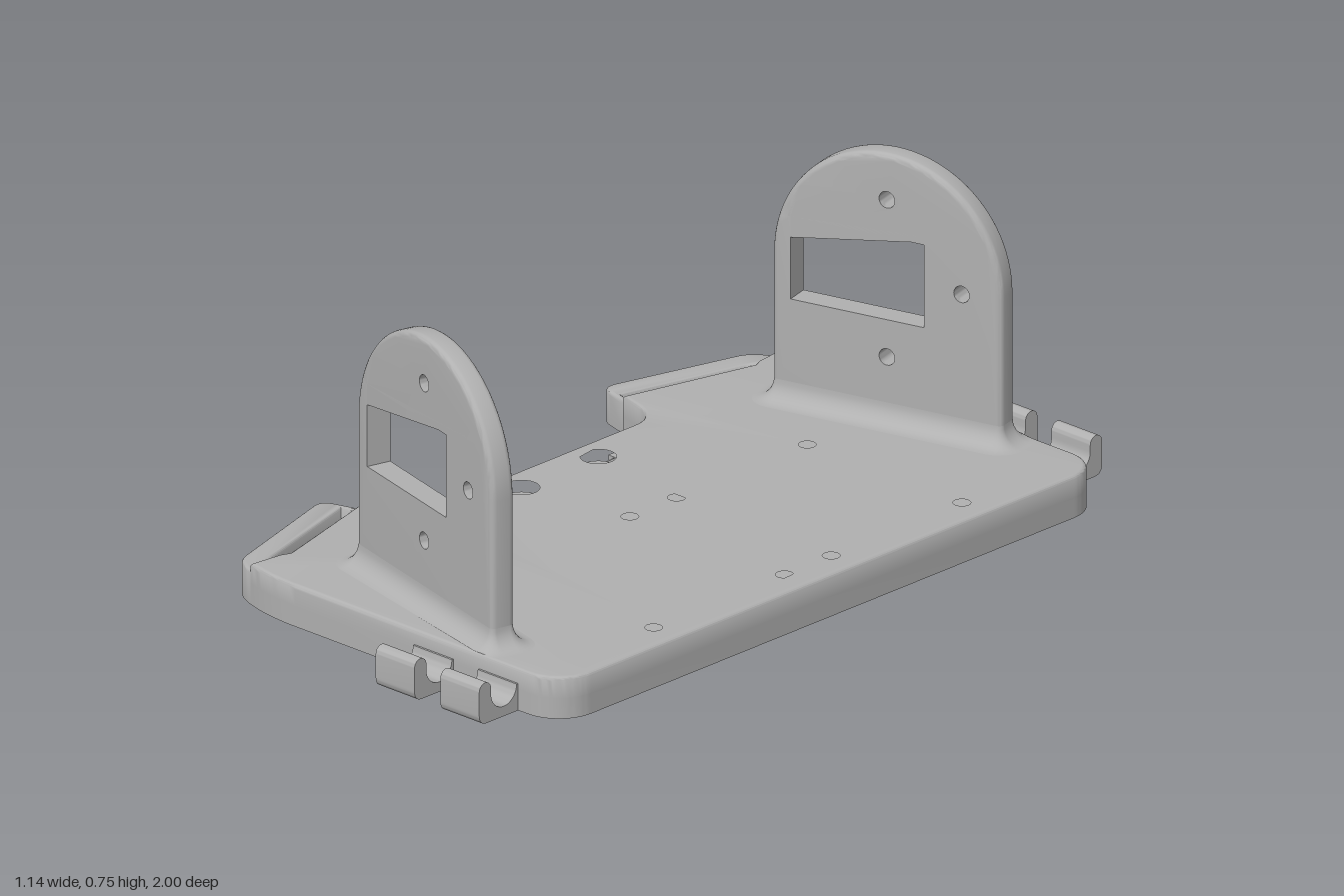
import * as THREE from 'three';
import { toCreasedNormals } from 'three/addons/utils/BufferGeometryUtils.js';

const TILT = THREE.MathUtils.degToRad(15);
const SIDES = [1, -1];

// Extrude an outline with round-edged rims; holes stay straight and sharp.
// Hole: { x, y, r } for a circle or { x, y, w, h } for a rectangle.
function solid(points, holes, thickness, bevel) {
  const shape = new THREE.Shape(points);
  for (const o of holes) {
    const p = new THREE.Path();
    if (o.r) p.absarc(o.x, o.y, o.r, 0, Math.PI * 2, true);
    else {
      p.moveTo(o.x - o.w / 2, o.y - o.h / 2);
      p.lineTo(o.x - o.w / 2, o.y + o.h / 2);
      p.lineTo(o.x + o.w / 2, o.y + o.h / 2);
      p.lineTo(o.x + o.w / 2, o.y - o.h / 2);
      p.closePath();
    }
    shape.holes.push(p);
  }
  const geo = new THREE.ExtrudeGeometry(shape, {
    depth: thickness - 2 * bevel, bevelEnabled: bevel > 0, bevelSize: bevel,
    bevelThickness: bevel, bevelOffset: -bevel, bevelSegments: 4, curveSegments: 12,
  });
  const pos = geo.attributes.position;
  for (let i = 0; i < pos.count; i++) {
    for (const o of holes) {
      const dx = pos.getX(i) - o.x, dy = pos.getY(i) - o.y, reach = bevel + 0.002;
      if (o.r) {
        const d = Math.hypot(dx, dy);
        if (d < o.r + reach) pos.setXY(i, o.x + dx / d * o.r, o.y + dy / d * o.r);
      } else if (Math.abs(dx) < o.w / 2 + reach && Math.abs(dy) < o.h / 2 + reach) {
        pos.setXY(i, o.x + Math.sign(dx) * o.w / 2, o.y + Math.sign(dy) * o.h / 2);
      }
    }
  }
  return geo;
}

// Horizontal slab between two heights, outline given in x and z, top rim rounded
function slab(points, holes, bottom, top, bevel) {
  const geo = solid(points, holes, top - bottom + bevel, bevel);
  geo.rotateX(Math.PI / 2).translate(0, top - bevel, 0);
  const pos = geo.attributes.position;
  for (let i = 0; i < pos.count; i++) pos.setY(i, Math.max(bottom, pos.getY(i)));
  return toCreasedNormals(geo, 0.6);
}

// Half of the deck outline, z >= 0, from the waist round to the straight side
function halfDeck(notched) {
  const s = new THREE.Path();
  if (notched) {
    s.moveTo(-0.19, 0);
    s.lineTo(-0.19, 0.23);
    s.lineTo(-0.345, 0.23);
  } else s.moveTo(-0.345, 0);
  s.lineTo(-0.345, 0.31);
  s.quadraticCurveTo(-0.345, 0.38, -0.42, 0.397);
  s.lineTo(-0.476, 0.413);
  s.lineTo(-0.39, 0.746);
  s.lineTo(-0.4, 0.77);
  s.lineTo(-0.41, 0.852);
  s.quadraticCurveTo(-0.34, 0.875, -0.25, 0.875);
  s.lineTo(0.47, 0.875);
  s.absarc(0.47, 0.775, 0.1, Math.PI / 2, 0, true);
  s.lineTo(0.57, 0);
  return s.getPoints(10);
}

function mirrored(half) {
  const inner = half.slice(1, -1);
  return [...inner, ...inner.map((p) => new THREE.Vector2(p.x, -p.y)).reverse()];
}

// Concave fillet round the foot of an upright, from offset rounded rectangles
function filletGeometry(width, thick, radius, side) {
  const rings = 8, perCorner = 6, n = perCorner * 4, verts = [], index = [];
  const c = Math.cos(TILT), s = Math.sin(TILT) * side, core = 0.012;
  for (let k = 0; k <= rings; k++) {
    const a = (k / rings) * Math.PI / 2;
    const off = radius * (1 - Math.sin(a)), y = 0.1 + radius * (1 - Math.cos(a));
    for (let j = 0; j < n; j++) {
      const q = Math.floor(j / perCorner);
      const t = (q + (j % perCorner) / (perCorner - 1)) * Math.PI / 2;
      const u = (q === 0 || q === 3 ? 1 : -1) * (width / 2 - core) + Math.cos(t) * (core + off);
      const v = (q < 2 ? 1 : -1) * (thick / 2 - core) + Math.sin(t) * (core + off);
      const z = side * 0.735 + u * s + v * c;
      verts.push(0.05 + u * c - v * s, y, THREE.MathUtils.clamp(z, -0.868, 0.868));
      if (k < rings) {
        const p = k * n + j, r = k * n + (j + 1) % n;
        index.push(p, p + n, r, r, p + n, r + n);
      }
    }
  }
  const geo = new THREE.BufferGeometry();
  geo.setAttribute('position', new THREE.Float32BufferAttribute(verts, 3));
  geo.setIndex(index);
  geo.computeVertexNormals();
  return geo;
}

export function createModel() {
  const group = new THREE.Group();
  const grey = new THREE.MeshStandardMaterial({ color: 0xb0b0b0 });
  grey.name = 'plain grey';
  const add = (name, geo) => {
    const mesh = new THREE.Mesh(geo, grey);
    mesh.name = name;
    group.add(mesh);
    return mesh;
  };

  // Deck in two layers: the lower one is notched under the waist
  const screwHoles = [];
  for (const x of [0.015, 0.493]) {
    for (const z of [-0.495, -0.075, 0.075, 0.495]) screwHoles.push({ x, y: z, r: 0.02 });
  }
  const bores = SIDES.map((s) => ({ x: -0.273, y: s * 0.123, r: 0.041 }));
  add('deckLower', slab(mirrored(halfDeck(true)), screwHoles, 0, 0.05, 0));
  add('deckUpper', slab(mirrored(halfDeck(false)), [...screwHoles, ...bores], 0.05, 0.1, 0.01));

  // Ledge inside each counterbored hole
  for (const b of bores) {
    const ring = new THREE.Path().absarc(b.x, b.y, 0.042, 0, Math.PI * 2);
    add('boreLedge', slab(ring.getPoints(16).slice(0, -1), [{ ...b, r: 0.023 }], 0.05, 0.072, 0));
  }

  // Lower strap bars beyond the open slots
  const bar = new THREE.Path();
  bar.moveTo(-0.385, 0.765);
  bar.lineTo(-0.425, 0.77);
  bar.lineTo(-0.434, 0.757);
  bar.lineTo(-0.516, 0.45);
  bar.lineTo(-0.492, 0.443);
  bar.lineTo(-0.487, 0.425);
  bar.lineTo(-0.54, 0.439);
  bar.quadraticCurveTo(-0.582, 0.45, -0.57, 0.487);
  bar.lineTo(-0.485, 0.79);
  bar.quadraticCurveTo(-0.472, 0.832, -0.41, 0.852);
  bar.lineTo(-0.37, 0.86);
  const barPoints = bar.getPoints(8);

  // Cable hook profile in z and y
  const hook = new THREE.Path();
  hook.moveTo(0.86, 0);
  hook.lineTo(0.975, 0);
  hook.quadraticCurveTo(1, 0, 1, 0.025);
  hook.lineTo(1, 0.08);
  hook.absarc(0.981, 0.08, 0.019, 0, Math.PI, false);
  hook.lineTo(0.962, 0.065);
  hook.absarc(0.921, 0.065, 0.041, 0, -Math.PI, true);
  hook.lineTo(0.86, 0.065);
  const hookPoints = hook.getPoints(10);

  // Upright: arched plate with a window and three holes
  const arch = new THREE.Path();
  arch.moveTo(-0.292, 0.05);
  arch.lineTo(0.292, 0.05);
  arch.absarc(0, 0.458, 0.292, 0, Math.PI, false);
  const archPoints = arch.getPoints(24);
  const openings = [
    { x: -0.075, y: 0.45, w: 0.34, h: 0.2 },
    { x: 0, y: 0.64, r: 0.02 },
    { x: 0.19, y: 0.45, r: 0.02 },
    { x: 0, y: 0.26, r: 0.02 },
  ];

  for (const side of SIDES) {
    const end = side > 0 ? 'front' : 'rear';
    const flip = (pts) => pts.map((p) => new THREE.Vector2(p.x, p.y * side));
    add(end + 'StrapBar', slab(flip(barPoints), [], 0, 0.08, 0.008));

    for (const x of [0.12, 0.32]) {
      const pts = hookPoints.map((p) => new THREE.Vector2(p.x * side, p.y));
      const geo = solid(pts, [], 0.12, 0);
      geo.rotateY(-Math.PI / 2).translate(x + 0.12, 0, 0);
      add(end + 'CableHook', toCreasedNormals(geo, 0.6));
    }

    const plate = solid(archPoints, openings, 0.06, 0.014).translate(0, 0, -0.016);
    const upright = add(end + 'Upright', toCreasedNormals(plate, 0.6));
    upright.position.set(0.05, 0, side * 0.735);
    upright.rotation.y = -side * TILT;
    add(end + 'UprightFillet', filletGeometry(0.584, 0.06, 0.05, side));
  }
  return group;
}
